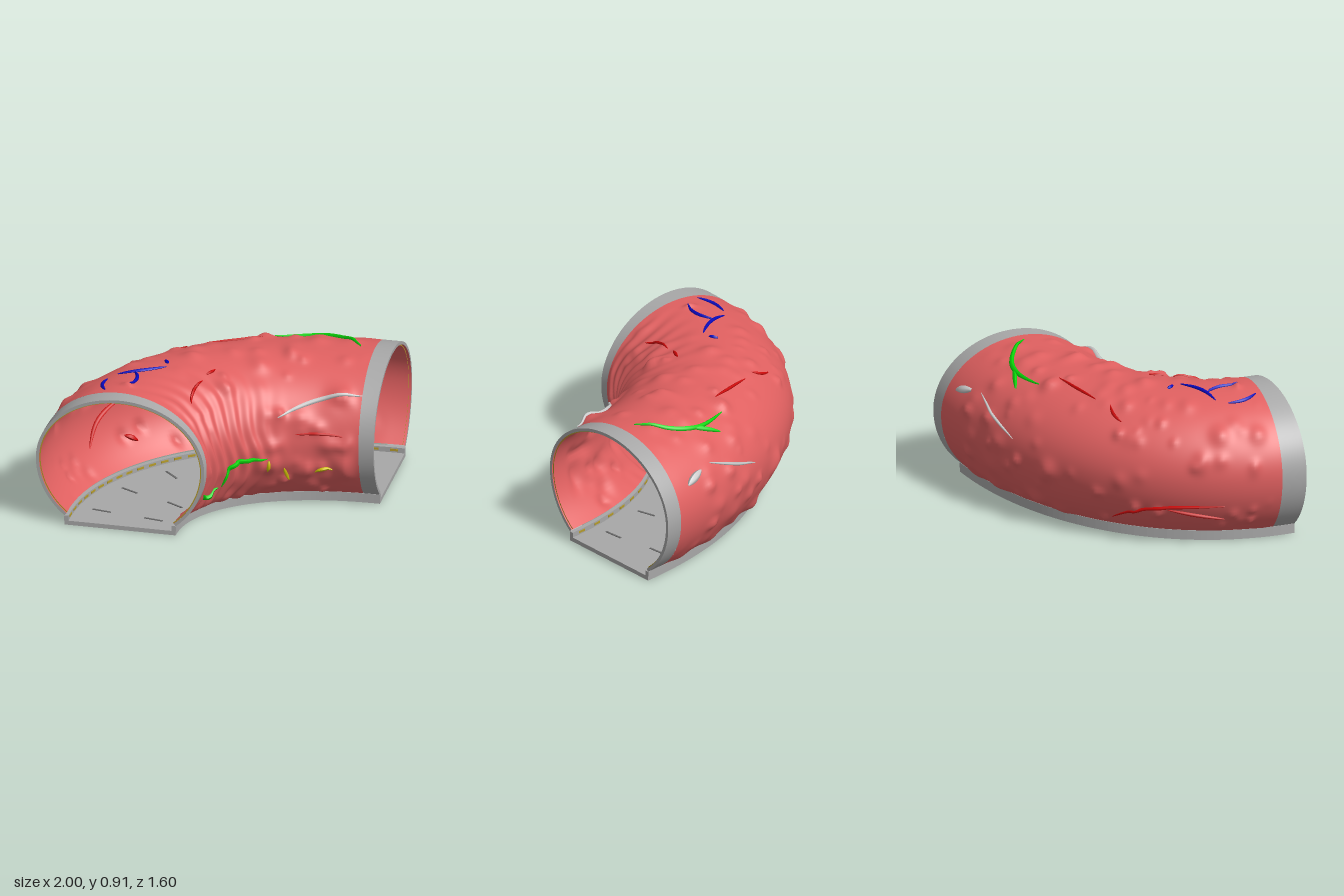
import * as THREE from 'three';

const mat = (name, color, side = THREE.FrontSide) => {
  const m = new THREE.MeshStandardMaterial({ color, side });
  m.name = name;
  return m;
};

// Bend and cross-section dimensions
const HALF = Math.PI / 2, E = 0.94;
const AX = 1.47, AZ = 1.07, W = 0.53, CY = 0.44, UP = 0.44, DOWN = 0.5;
const TH0 = -0.849, TH1 = Math.PI + 0.849, T_A = 0.0864, WALL = 0.02;
const pw = (v, e) => Math.pow(Math.max(0, v), e);
const mix = (a, b, f) => a + (b - a) * f;

// Point on the plan: t runs along the bend, d is the distance outward from its centre line
const plan = (t, d, y) => new THREE.Vector3(
  1 - (AX + d) * pw(Math.cos(t), E), y, 0.8 - (AZ + d) * pw(Math.sin(t), E));

// Point on the arched shell
function shell(t, th, off = 0) {
  const s = Math.sin(th);
  return plan(t, (W + off) * Math.cos(th), CY + ((s > 0 ? UP : DOWN) + off) * s);
}
const edgeB = (th) => HALF - 0.066 + 0.02 * Math.cos(th);

// Seeded lumps and wrinkles over the flesh
let seed = 7;
const rnd = () => (seed = (seed * 16807) % 2147483647) / 2147483647;
const lumps = Array.from({ length: 190 }, () => ({
  t: rnd() * HALF, th: mix(TH0, TH1, rnd()), r: 0.025 + 0.035 * rnd(), a: 0.006 + 0.02 * rnd() ** 2,
}));
function bump(t, th) {
  const f = THREE.MathUtils.smoothstep(t, T_A, T_A + 0.1) * (1 - THREE.MathUtils.smoothstep(t, edgeB(th) - 0.1, edgeB(th)));
  if (f === 0) return 0;
  const c = Math.cos(th), inner = Math.max(0, -c);
  let h = inner * 0.009 * Math.sin(52 * t + 2 * Math.sin(5 * th)) * (1 - THREE.MathUtils.smoothstep(t, 0.6, 1.1));
  const len = 1.27 + W * c;
  for (const l of lumps) {
    const q = (((t - l.t) * len) ** 2 + ((th - l.th) * 0.48) ** 2) / (l.r * l.r);
    if (q < 6) h += l.a * Math.exp(-q);
  }
  return Math.min(h, 0.035) * f;
}

// Surface over a grid of u, v in 0..1
function grid(nu, nv, fn, flip) {
  const pos = [], idx = [];
  for (let i = 0; i <= nu; i++) for (let j = 0; j <= nv; j++) pos.push(...fn(i / nu, j / nv).toArray());
  for (let i = 0; i < nu; i++) for (let j = 0; j < nv; j++) {
    const a = i * (nv + 1) + j, b = a + nv + 1;
    if (flip) idx.push(a, a + 1, b, b, a + 1, b + 1);
    else idx.push(a, b, a + 1, b, b + 1, a + 1);
  }
  const g = new THREE.BufferGeometry();
  g.setAttribute('position', new THREE.Float32BufferAttribute(pos, 3));
  g.setIndex(idx);
  g.computeVertexNormals();
  return g;
}

// Curved slab following the bend between two offsets
function slab(d0, d1, y0, y1) {
  const pts = [], n = 56;
  for (let i = 0; i <= n; i++) pts.push(plan(i / n * HALF, d1, 0));
  for (let i = n; i >= 0; i--) pts.push(plan(i / n * HALF, d0, 0));
  const shape = new THREE.Shape(pts.map((p) => new THREE.Vector2(p.x, p.z)));
  return new THREE.ExtrudeGeometry(shape, { depth: y1 - y0, bevelEnabled: false }).rotateX(HALF).translate(0, y1, 0);
}

// Turn plan or elevation positions into [t, th] on the shell
function fromTop(x, z) {
  const X = 1 - x, Z = 0.8 - z;
  let lo = -W, hi = W;
  for (let i = 0; i < 40; i++) {
    const d = (lo + hi) / 2;
    if (pw(X / (AX + d), 2 / E) + pw(Z / (AZ + d), 2 / E) > 1) lo = d; else hi = d;
  }
  return [Math.atan2(pw(Z / (AZ + lo), 1 / E), pw(X / (AX + lo), 1 / E)), Math.acos(lo / W)];
}
function angleAt(y, outer) {
  const a = Math.asin(THREE.MathUtils.clamp((y - CY) / (y > CY ? UP : DOWN), -1, 1));
  return outer ? a : Math.PI - a;
}
const fromFront = (outer) => (x, y) => {
  const th = angleAt(y, outer);
  return [Math.acos(Math.min(1, pw((1 - x) / (AX + W * Math.cos(th)), 1 / E))), th];
};
const fromSide = (outer) => (z, y) => {
  const th = angleAt(y, outer);
  return [Math.asin(Math.min(1, pw((0.8 - z) / (AZ + W * Math.cos(th)), 1 / E))), th];
};

// Tapered vein hugging the shell: start, end and sideways bow
function vein([x0, y0, x1, y1, bow], map, r, inside) {
  const pts = [], n = 28, k = 6;
  for (let i = 0; i <= 14; i++) {
    const u = i / 14, b = bow * Math.sin(Math.PI * u);
    const [t, th] = map(mix(x0, x1, u) - (y1 - y0) * b, mix(y0, y1, u) + (x1 - x0) * b);
    pts.push(shell(t, th, bump(t, th) + (inside ? -WALL - r * 0.3 : r * 0.3)));
  }
  const curve = new THREE.CatmullRomCurve3(pts);
  const g = new THREE.TubeGeometry(curve, n, r, k, false), pos = g.attributes.position;
  const v = new THREE.Vector3();
  for (let i = 0; i < pos.count; i++) {
    const u = Math.floor(i / (k + 1)) / n;
    v.fromBufferAttribute(pos, i).lerp(curve.getPointAt(u), 1 - Math.pow(Math.sin(Math.PI * mix(0.03, 0.97, u)), 0.7));
    pos.setXYZ(i, v.x, v.y, v.z);
  }
  g.computeVertexNormals();
  return g;
}

export function createModel() {
  const model = new THREE.Group();
  model.name = 'curvedTunnel';
  const flesh = mat('flesh pink', 0xe06060), grey = mat('frame grey', 0xa8a8a8, THREE.DoubleSide);
  const gold = mat('gold', 0xb39a2c, THREE.DoubleSide), slot = mat('slot grey', 0x6c6c6c);
  const red = mat('vein red', 0xcc0808), blue = mat('vein blue', 0x0808c0), green = mat('vein green', 0x08d808);
  const pale = mat('vein pale grey', 0xcccccc), yellow = mat('vein yellow', 0xd2c208);
  const add = (name, geo, m) => {
    const mesh = new THREE.Mesh(geo, m);
    mesh.name = name;
    model.add(mesh);
    return mesh;
  };
  const th = (v) => mix(TH0, TH1, v);

  // Flesh skin and lining
  add('outerSkin', grid(170, 110, (u, v) => {
    const a = th(v), t = mix(T_A, edgeB(a), u);
    return shell(t, a, bump(t, a));
  }, true), flesh);
  add('innerLining', grid(150, 90, (u, v) => {
    const a = th(v), t = u * HALF;
    return shell(t, a, bump(t, a) - WALL);
  }, false), flesh);

  // End bands, rim faces and gold seals
  add('frontBand', grid(6, 80, (u, v) => shell(u * T_A, th(v)), true), grey);
  add('sideBand', grid(6, 80, (u, v) => shell(mix(edgeB(th(v)), HALF, u), th(v)), true), grey);
  for (const [name, t, dir] of [['front', 0, 1], ['side', HALF, -1]]) {
    add(name + 'Rim', grid(1, 80, (u, v) => shell(t, th(v), -WALL * u), dir < 0), grey);
    add(name + 'Seal', grid(1, 80, (u, v) => shell(t + dir * 0.006, th(v), -WALL - 0.007 * u), dir < 0), gold);
  }

  // Floor with a curb along each side
  add('floor', slab(-0.35, 0.35, 0.002, 0.03), grey);
  for (const s of [-1, 1]) {
    add('curb', slab(Math.min(s * 0.325, s * 0.352), Math.max(s * 0.325, s * 0.352), 0.03, 0.064), grey);
  }

  // Plates turned to follow the bend: curb dashes and floor slots
  const plate = (name, size, t, d, y, m) => {
    const p = add(name, new THREE.BoxGeometry(...size), m);
    p.position.copy(plan(t, d, y));
    const q = plan(t + 0.01, d, y).sub(plan(t - 0.01, d, y));
    p.rotation.y = Math.atan2(q.x, q.z);
  };
  for (const s of [-1, 1]) {
    const n = s > 0 ? 26 : 14;
    for (let i = 0; i < n; i++) plate('curbDash', [0.005, 0.014, 0.05], (i + 0.5) / n * HALF, s * 0.324, 0.048, gold);
  }
  for (let i = 0; i < 6; i++) {
    const t = 0.13 + i * 0.26;
    for (const d of [-0.17, 0.17]) {
      plate('floorSlot', [0.12, 0.006, 0.012], t, d, 0.031, slot);
      for (const k of [-0.04, 0, 0.04]) plate('undersideSlot', [0.025, 0.004, 0.008], t, d + k, 0.002, slot);
    }
  }

  // Veins over the roof
  const veins = (m, r, map, list, inside = false) => list.forEach((p) => add('vein', vein(p, map, r, inside), m));
  veins(green, 0.016, fromTop, [[0.22, -0.44, 0.8, -0.28, -0.2], [0.53, -0.47, 0.33, -0.55, 0]]);
  veins(pale, 0.01, fromTop, [[0.14, -0.66, 0.55, -0.68, -0.05]]);
  veins(pale, 0.026, fromTop, [[0.64, -0.7, 0.78, -0.74, 0]]);
  veins(red, 0.01, fromTop, [[-0.17, -0.24, 0.17, -0.33, 0], [-0.42, -0.18, -0.27, -0.19, -0.1],
    [-0.06, 0.33, -0.08, 0.55, 0.1], [-0.01, 0.19, -0.05, 0.27, 0]]);
  veins(blue, 0.012, fromTop, [[-0.58, 0.38, -0.3, 0.27, 0.08], [-0.48, 0.36, -0.46, 0.58, -0.14],
    [-0.63, 0.44, -0.6, 0.64, 0.12], [-0.33, 0.17, -0.3, 0.22, 0]]);

  // Veins on the inside of the bend
  veins(green, 0.016, fromSide(false), [[0.7, 0.25, 0.56, 0.24, 0.33], [0.55, 0.25, 0.39, 0.39, -0.35]]);
  veins(pale, 0.016, fromFront(false), [[0.4, 0.63, 0.9, 0.74, 0.06]]);
  veins(red, 0.01, fromFront(false), [[0.52, 0.53, 0.81, 0.52, 0.03]]);
  veins(yellow, 0.012, fromFront(false), [[0.36, 0.38, 0.35, 0.3, 0], [0.45, 0.31, 0.47, 0.22, 0], [0.63, 0.28, 0.74, 0.3, 0.18]]);

  // Veins low on the outside of the bend, given along and around the shell
  veins(red, 0.012, (t, a) => [t, a], [[0.75, -0.65, 0.3, -0.33, -0.2], [0.52, -0.4, 0.3, -0.55, 0]]);

  // Veins on the lining
  veins(red, 0.016, fromFront(true), [[-0.82, 0.23, -0.68, 0.47, 0.2], [-0.65, 0.22, -0.58, 0.17, 0]], true);
  veins(red, 0.014, fromSide(true), [[-0.18, 0.83, -0.5, 0.73, -0.12]], true);
  return model;
}
